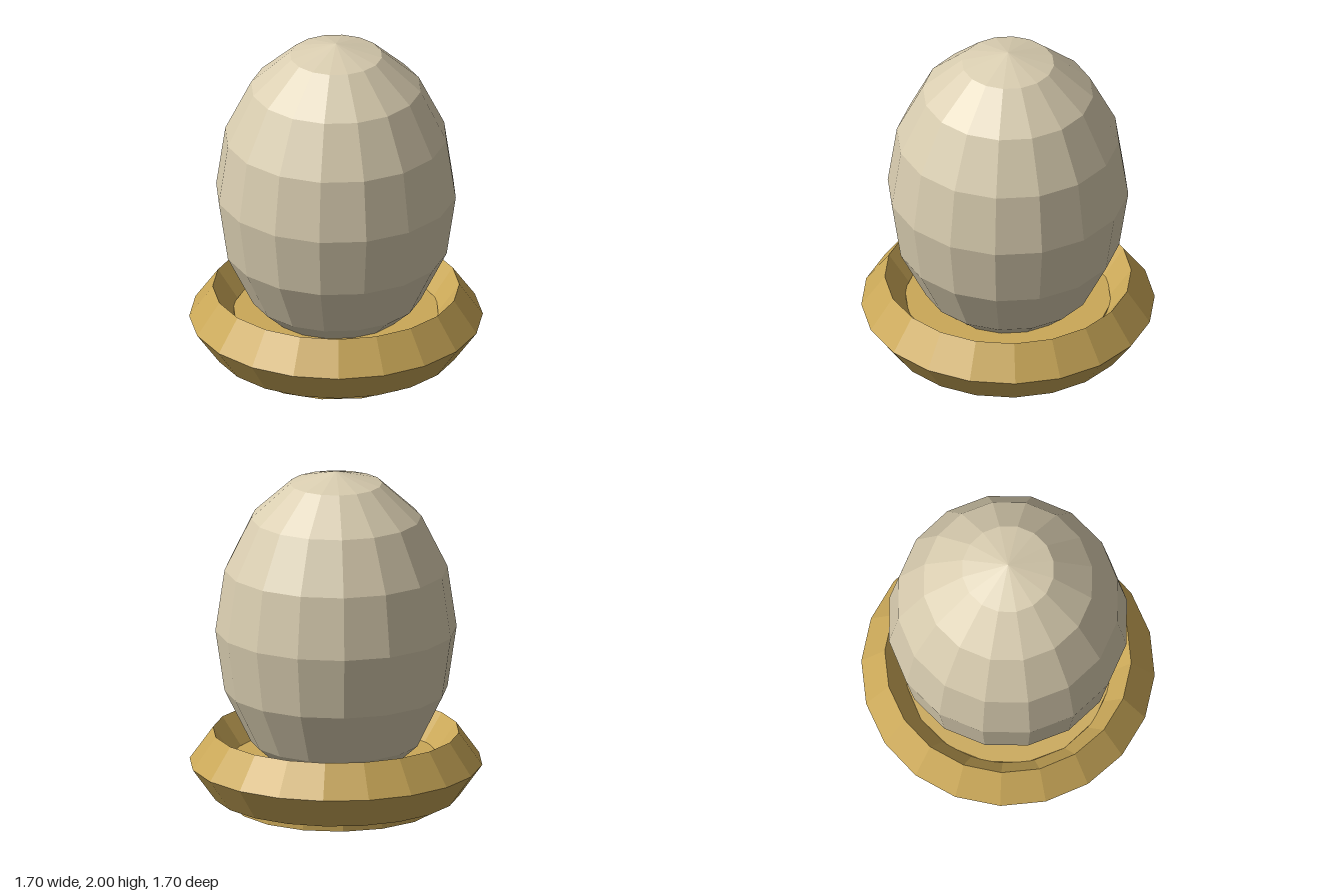
import * as THREE from 'three';

export function createModel() {
  const model = new THREE.Group();
  const shellColor = new THREE.MeshStandardMaterial({ name: 'cream shell', color: 0xd9cdb0, flatShading: true });
  const goldColor = new THREE.MeshStandardMaterial({ name: 'gold', color: 0xcaa858, flatShading: true });

  const add = (name, geometry, material, y) => {
    const mesh = new THREE.Mesh(geometry, material);
    mesh.name = name;
    mesh.position.y = y;
    model.add(mesh);
  };

  // Foot: short cylinder that also closes the inside of the ring
  add('foot', new THREE.CylinderGeometry(0.6, 0.6, 0.285, 16), goldColor, 0.1425);

  // Ring: torus with a diamond section, stretched upwards
  const ring = new THREE.TorusGeometry(0.714, 0.136, 4, 20);
  ring.rotateX(-Math.PI / 2).scale(1, 1.4, 1);
  add('ring', ring, goldColor, 0.254);

  // Egg: faceted ellipsoid seated in the ring
  const egg = new THREE.SphereGeometry(0.7, 16, 8);
  egg.scale(1, 1.35, 1);
  add('egg', egg, shellColor, 1.055);

  return model;
}
